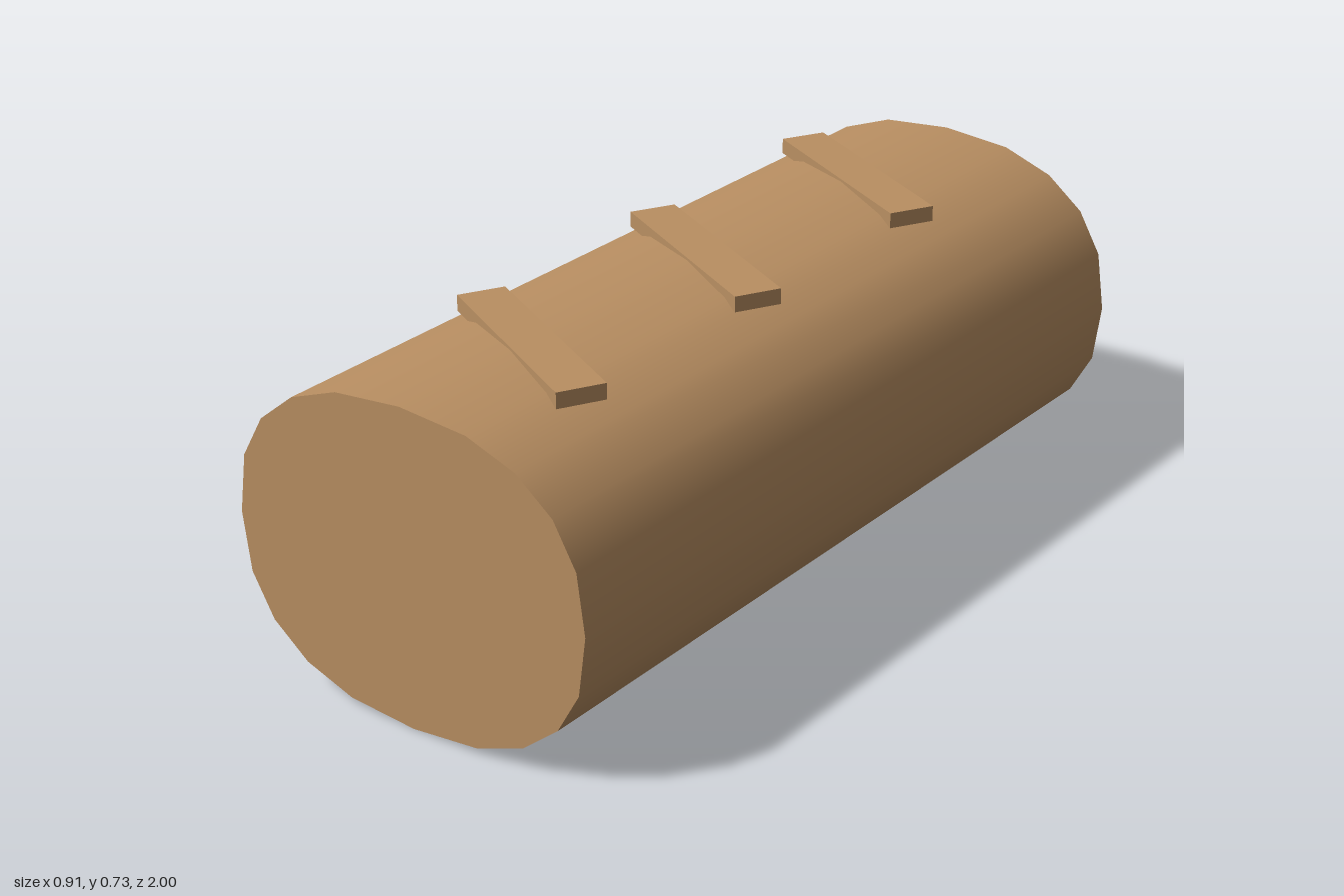
import * as THREE from 'three';

export function createModel() {
  const model = new THREE.Group();
  const wood = new THREE.MeshStandardMaterial({ color: 0xb98f62 });
  wood.name = 'wood';

  // Log body: a 20-sided cylinder along z, squared off into a superellipse
  const a = 0.4545, b = 0.3635, p = 0.84;
  const power = (v, e) => Math.sign(v) * Math.abs(v) ** e;
  const body = new THREE.CylinderGeometry(1, 1, 2, 20).rotateX(Math.PI / 2);
  const pos = body.attributes.position;
  const nor = body.attributes.normal;
  const n = new THREE.Vector3();
  for (let i = 0; i < pos.count; i++) {
    const x = pos.getX(i), y = pos.getY(i);
    pos.setXY(i, a * power(x, p), b * power(y, p));
    // smooth normals round the side; the end caps stay flat
    if (Math.abs(nor.getZ(i)) < 0.5) {
      n.set(power(x, 2 - p) / a, power(y, 2 - p) / b, 0).normalize();
      nor.setXYZ(i, n.x, n.y, n.z);
    }
  }
  const log = new THREE.Mesh(body, wood);
  log.name = 'logBody';
  log.position.y = b;
  model.add(log);

  // Three slanted slats set into the top
  const slatShape = new THREE.BoxGeometry(0.545, 0.036, 0.109);
  [-0.6, 0, 0.6].forEach((z, i) => {
    const slat = new THREE.Mesh(slatShape, wood);
    slat.name = `slat${i + 1}`;
    slat.position.set(0, 0.715, z);
    slat.rotation.y = -0.5;
    model.add(slat);
  });

  return model;
}
